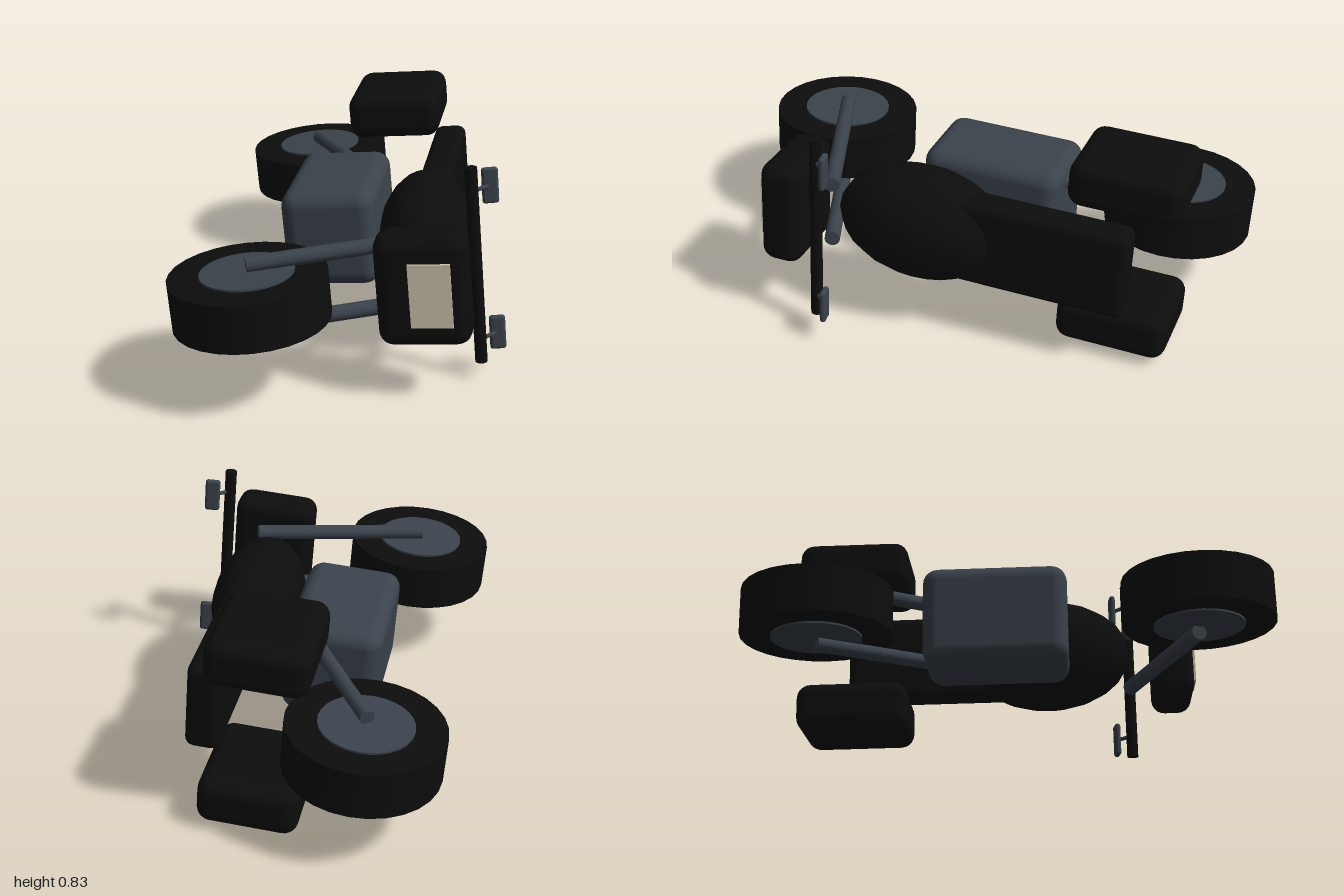
import * as THREE from 'three';
import { RoundedBoxGeometry } from 'three/addons/geometries/RoundedBoxGeometry.js';

const material = (name, color) => {
  const m = new THREE.MeshStandardMaterial({ color });
  m.name = name;
  return m;
};

// A motorcycle lying on its side. Inside the bike group:
// x = the bike's own up, y = across the bike, z = forward.
export function createModel() {
  const black = material('black', 0x0d0d0d);
  const slate = material('slate', 0x3b434c);
  const cream = material('cream', 0xd6ccb6);

  const model = new THREE.Group();
  model.name = 'motorcycle';
  const bike = new THREE.Group();
  bike.name = 'bike';
  bike.position.set(0, 0.393, 0);
  bike.rotation.set(0, 0.18, 0.087, 'ZYX');
  model.add(bike);

  const add = (name, geometry, mat, x, y, z) => {
    const mesh = new THREE.Mesh(geometry, mat);
    mesh.name = name;
    mesh.position.set(x, y, z);
    bike.add(mesh);
    return mesh;
  };
  const block = (name, mat, size, radius, pos) =>
    add(name, new RoundedBoxGeometry(...size, 3, radius), mat, ...pos);
  // Round bar between two points
  const bar = (name, mat, radius, from, to) => {
    const a = new THREE.Vector3(...from);
    const b = new THREE.Vector3(...to);
    const dir = b.clone().sub(a);
    const mid = a.clone().lerp(b, 0.5);
    const mesh = add(name, new THREE.CylinderGeometry(radius, radius, dir.length(), 14),
      mat, mid.x, mid.y, mid.z);
    mesh.quaternion.setFromUnitVectors(new THREE.Vector3(0, 1, 0), dir.normalize());
  };

  // Wheels
  for (const [name, z] of [['front', 0.668], ['rear', -0.77]]) {
    add(name + 'Tire', new THREE.CylinderGeometry(0.288, 0.288, 0.18, 28), black, -0.268, 0, z);
    add(name + 'Hub', new THREE.CylinderGeometry(0.172, 0.172, 0.195, 28), slate, -0.268, 0, z);
  }

  // Body
  block('engine', slate, [0.365, 0.385, 0.555], 0.06, [-0.07, 0, -0.1]);
  block('seat', black, [0.13, 0.35, 0.68], 0.035, [0.325, 0, -0.39]);
  const tank = add('tank', new THREE.SphereGeometry(1, 18, 12), black, 0.303, 0, 0.09);
  tank.scale.set(0.18, 0.23, 0.335);

  // Headlamp housing and its lens
  block('headlampHousing', black, [0.335, 0.42, 0.165], 0.055, [0.349, 0, 0.597]);
  add('headlampLens', new THREE.BoxGeometry(0.15, 0.24, 0.009), cream, 0.382, 0, 0.69);

  // Handlebar
  bar('handlebar', black, 0.023, [0.52, -0.38, 0.43], [0.52, 0.38, 0.43]);

  // Paired parts on both sides
  for (const side of [-1, 1]) {
    const label = side > 0 ? 'upper' : 'lower';
    bar(label + 'Fork', slate, 0.03, [-0.27, 0.12 * side, 0.665], [0.39, 0.12 * side, 0.427]);
    bar(label + 'Swingarm', slate, 0.028, [-0.268, 0.12 * side, -0.77], [0, 0.12 * side, -0.34]);
    block(label + 'SideBag', black, [0.375, 0.185, 0.43], 0.055, [0.116, 0.293 * side, -0.67]);
    bar(label + 'MirrorArm', slate, 0.008, [0.52, 0.29 * side, 0.43], [0.58, 0.29 * side, 0.37]);
    block(label + 'Mirror', slate, [0.06, 0.135, 0.024], 0.011, [0.58, 0.29 * side, 0.37])
      .rotation.y = 0.15;
  }
  return model;
}
